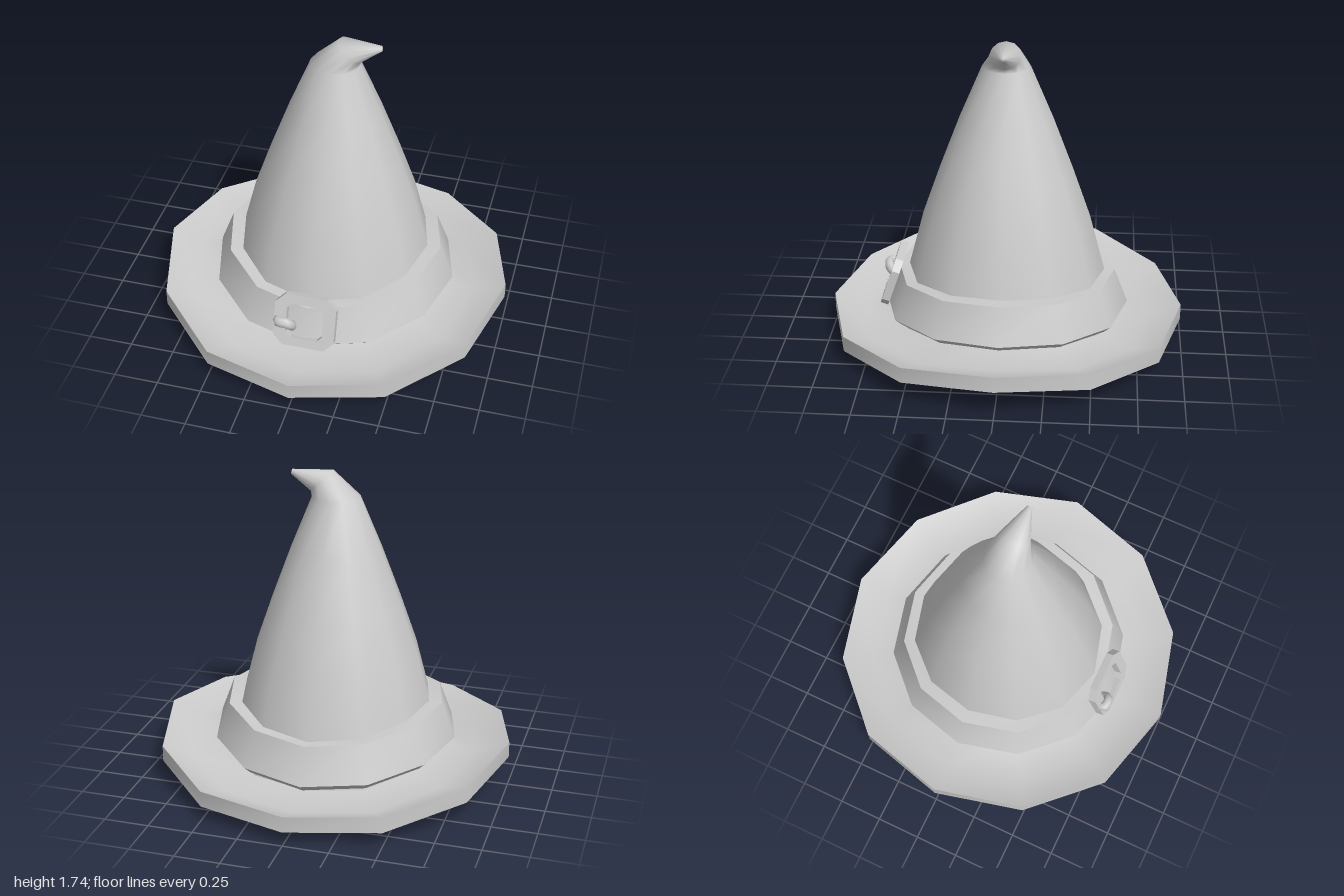
import * as THREE from 'three';
import { toCreasedNormals } from 'three/addons/utils/BufferGeometryUtils.js';

const SIDES = 12;
const material = new THREE.MeshStandardMaterial({ color: 0xcccccc });

// Skin closed 12-sided rings; ringPoint(ring, angle) gives [x, y, z]
function loft(rings, ringPoint, crease) {
  const pos = [], index = [];
  rings.forEach((ring, i) => {
    for (let j = 0; j < SIDES; j++) {
      pos.push(...ringPoint(ring, (j / SIDES) * Math.PI * 2));
      if (i === rings.length - 1) continue;
      const a = i * SIDES + j, b = i * SIDES + ((j + 1) % SIDES);
      index.push(a, b, b + SIDES, a, b + SIDES, a + SIDES);
    }
  });
  const g = new THREE.BufferGeometry();
  g.setAttribute('position', new THREE.Float32BufferAttribute(pos, 3));
  g.setIndex(index);
  g.computeVertexNormals();
  return crease ? toCreasedNormals(g, crease) : g;
}

// Ring [radius, height] whose sides rise towards +x and -x
const lifted = (amount, power) => ([r, y], a) => [
  r * Math.sin(a),
  y + amount * Math.abs(Math.sin(a)) ** power,
  r * Math.cos(a),
];

// Rectangle with cut corners
function cutRect(target, w, h, c) {
  const pts = [[w - c, -h], [w, c - h], [w, h - c], [w - c, h], [c - w, h], [-w, h - c], [-w, c - h], [c - w, -h]];
  return target.setFromPoints(pts.map(([x, y]) => new THREE.Vector2(x, y)));
}

export function createModel() {
  const hat = new THREE.Group();
  hat.name = 'pointedHat';
  const add = (name, geometry, parent = hat, mat = material) => {
    const mesh = new THREE.Mesh(geometry, mat);
    mesh.name = name;
    parent.add(mesh);
    return mesh;
  };

  // Wide brim, upturned at the sides
  add('brim', loft(
    [[0.61, 0.03], [0.82, 0], [1, 0.08], [1, 0.17], [0.82, 0.1], [0.62, 0.13]],
    lifted(0.09, 4.8), 0.8));

  // Crown: rings of [centre x, centre y, radius, tilt, depth radius]
  add('crown', loft(
    [
      [0, 0.12, 0.62, 0, 0.62], [0, 0.41, 0.55, 0, 0.55], [0, 0.72, 0.468, 0, 0.468],
      [0, 1.0, 0.37, 0, 0.37], [0, 1.3, 0.257, 0, 0.257], [0, 1.595, 0.135, 0, 0.132],
      [0.08, 1.68, 0.084, -0.78, 0.085], [0.25, 1.715, 0.015, -1.4, 0.015], [0.252, 1.715, 0, 0, 0],
    ],
    ([cx, cy, r, tilt, depth], a) => [
      cx + r * Math.sin(a) * Math.cos(tilt),
      cy + r * Math.sin(a) * Math.sin(tilt),
      depth * Math.cos(a),
    ]));

  // Hollow inside, closed by a flat ceiling
  add('lining', loft([[0, 0.48], [0.45, 0.48], [0.61, 0.03]],
    ([r, y], a) => [r * Math.sin(a), y + (y < 0.1 ? 0.09 * Math.abs(Math.sin(a)) ** 4.8 : 0), r * Math.cos(a)], 0.8));

  // Flared band round the crown
  add('band', loft([[0.61, 0.13], [0.65, 0.145], [0.692, 0.185], [0.615, 0.387], [0.53, 0.387]],
    lifted(0.068, 2), 0.7));

  // Buckle leaning back against the band
  const buckle = new THREE.Group();
  buckle.name = 'buckle';
  buckle.position.set(0, 0.32, 0.645);
  buckle.rotation.x = -0.33;
  hat.add(buckle);

  const frame = cutRect(new THREE.Shape(), 0.172, 0.15, 0.055);
  frame.holes.push(cutRect(new THREE.Path(), 0.103, 0.1, 0.028));
  const frameGeometry = new THREE.ExtrudeGeometry(frame, { depth: 0.045, bevelEnabled: false });
  frameGeometry.translate(0, 0, -0.022);
  add('buckleFrame', frameGeometry, buckle);

  // Prong wrapped over the left bar of the frame
  const prongPath = new THREE.CatmullRomCurve3([
    [-0.15, -0.01, 0.01], [-0.145, -0.01, 0.04], [-0.1, -0.01, 0.045], [-0.08, -0.02, 0.03], [-0.075, -0.04, -0.02],
  ].map((p) => new THREE.Vector3(...p)));
  const prong = add('buckleProng', new THREE.TubeGeometry(prongPath, 10, 0.026, 8), buckle,
    new THREE.MeshStandardMaterial({ color: 0xcccccc, side: THREE.DoubleSide }));
  prong.scale.y = 1.2;

  return hat;
}
